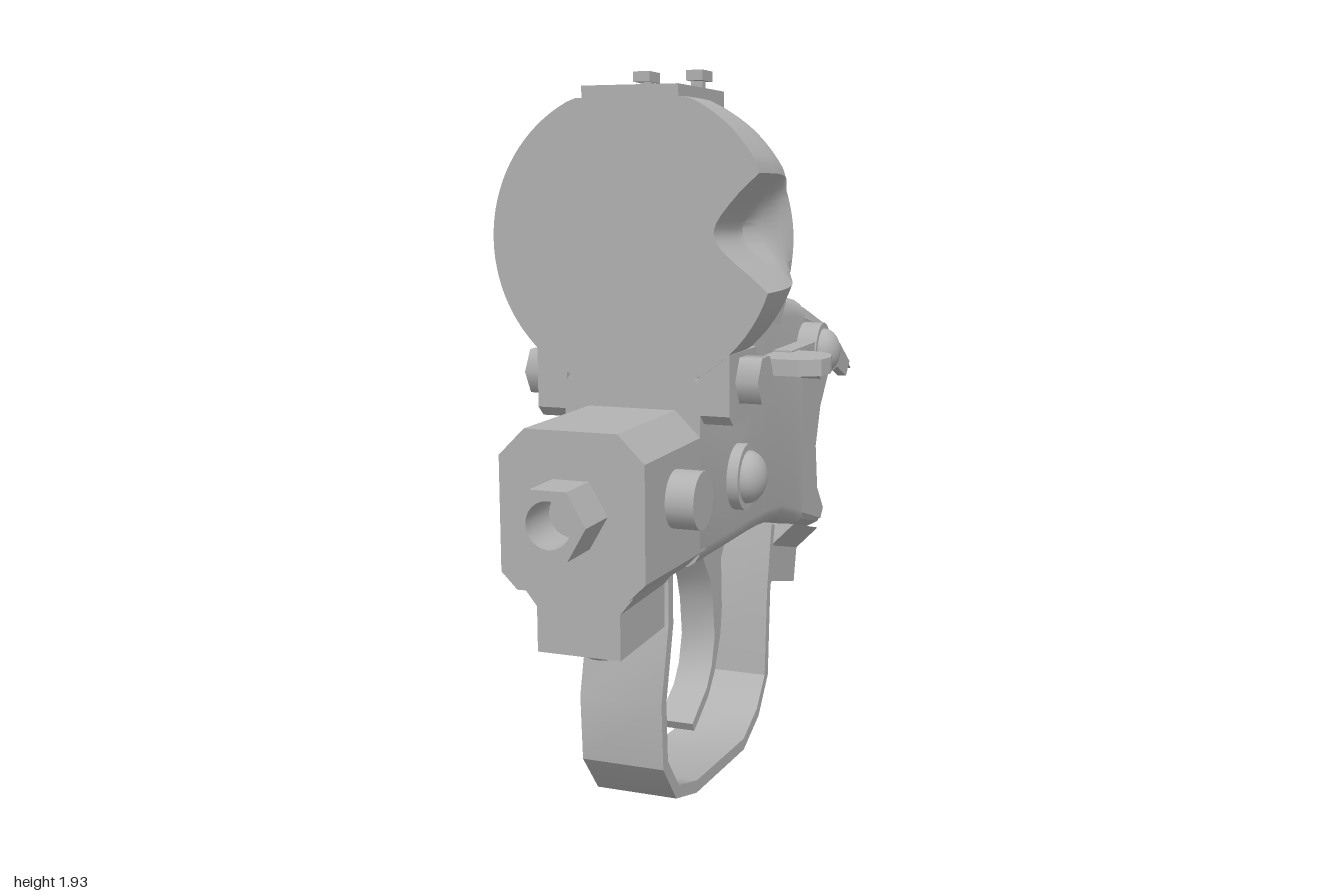
import * as THREE from 'three';
import { toCreasedNormals } from 'three/addons/utils/BufferGeometryUtils.js';

const metal = new THREE.MeshStandardMaterial({ color: 0xb2b2b2 });
metal.name = 'grey metal';

// Skin a list of sections (counter-clockwise [x, y] loops, z descending) and cap both ends
function loft(sections, crease = 0.6) {
  const n = sections[0].pts.length, pos = [], idx = [];
  sections.forEach(s => s.pts.forEach(p => pos.push(p[0], p[1], s.z)));
  for (let i = 0; i < sections.length - 1; i++) {
    for (let j = 0; j < n; j++) {
      const a = i * n + j, b = i * n + (j + 1) % n, c = a + n, d = b + n;
      idx.push(a, c, b, b, c, d);
    }
  }
  const cap = (s, off, flip) => {
    const loop = s.pts.map(p => new THREE.Vector2(p[0], p[1]));
    for (const [a, b, c] of THREE.ShapeUtils.triangulateShape(loop, [])) {
      idx.push(off + a, off + (flip ? c : b), off + (flip ? b : c));
    }
  };
  cap(sections[0], 0, false);
  cap(sections[sections.length - 1], (sections.length - 1) * n, true);
  const g = new THREE.BufferGeometry();
  g.setAttribute('position', new THREE.Float32BufferAttribute(pos, 3));
  g.setIndex(idx);
  return toCreasedNormals(g, crease);
}

// Box section with cut (steps = 1) or rounded corners
function boxSection(w, top, bottom, rTop, rBottom, steps) {
  const pts = [];
  const corners = [[1, bottom, rBottom, -1], [1, top, rTop, 1], [-1, top, rTop, 1], [-1, bottom, rBottom, -1]];
  corners.forEach(([sx, y, r, sy], k) => {
    for (let i = 0; i <= steps; i++) {
      const a = (k - 1 + i / steps) * Math.PI / 2;
      pts.push([sx * (w - r) + r * Math.cos(a), y - sy * r + r * Math.sin(a)]);
    }
  });
  return pts;
}

// Side outline of [z, y] points, extruded from x0 to x1
function slab(points, x0, x1) {
  const shape = new THREE.Shape(points.map(p => new THREE.Vector2(p[0], p[1])));
  const g = new THREE.ExtrudeGeometry(shape, { depth: x1 - x0, bevelEnabled: false });
  return toCreasedNormals(g.rotateY(-Math.PI / 2).translate(x1, 0, 0), 0.6);
}

// Closed outline of a strip of given thickness along a [z, y] path
function strip(path, t) {
  const a = [], b = [];
  path.forEach((p, i) => {
    const q = path[Math.max(i - 1, 0)], r = path[Math.min(i + 1, path.length - 1)];
    const dx = r[0] - q[0], dy = r[1] - q[1], l = Math.hypot(dx, dy);
    a.push([p[0] - dy / l * t / 2, p[1] + dx / l * t / 2]);
    b.unshift([p[0] + dy / l * t / 2, p[1] - dx / l * t / 2]);
  });
  return a.concat(b);
}

export function createModel() {
  const model = new THREE.Group();
  const add = (name, geometry, x = 0, y = 0, z = 0) => {
    const m = new THREE.Mesh(geometry, metal);
    m.name = name;
    m.position.set(x, y, z);
    model.add(m);
    return m;
  };
  const box = (w, h, d) => new THREE.BoxGeometry(w, h, d);
  const sideCyl = (r, len, n) => new THREE.CylinderGeometry(r, r, len, n).rotateZ(-Math.PI / 2);
  const dome = (r, h) => new THREE.SphereGeometry(r, 24, 8, 0, Math.PI * 2, 0, Math.PI / 2).scale(1, h / r, 1);

  // Receiver: chamfered nose and rounded middle
  add('receiverNose', loft([[0.88, 1.1, 0.72], [0.48, 1.1, 0.705]].map(([z, t, b]) =>
    ({ z, pts: boxSection(0.18, t, b, 0.065, 0.04, 1) })), 0.3));
  const middle = [[0.518, 1.2, 0.705], [0.3, 1.22, 0.697], [0.08, 1.41, 0.69], [-0.05, 1.38, 0.683],
    [-0.2, 1.33, 0.665], [-0.32, 1.32, 0.63], [-0.42, 1.305, 0.6]];
  add('receiverBody', loft(middle.map(([z, t, b]) => ({ z, pts: boxSection(0.18, t, b, 0.06, 0.05, 4) }))));

  // Hollow tail: two side walls, arched roof and floor
  const wall = [[-0.4, 1.25], [-0.68, 1.19], [-0.85, 1.125], [-0.985, 1.05], [-0.94, 1.005], [-0.82, 1.05],
    [-0.7, 1.04], [-0.61, 0.95], [-0.56, 0.83], [-0.585, 0.69], [-0.66, 0.61], [-0.63, 0.58], [-0.4, 0.65]];
  add('tailWallLeft', slab(wall, 0.15, 0.18));
  add('tailWallRight', slab(wall, -0.18, -0.15));
  const arch = (y, s) => {
    const outer = [[0.18, -0.06], [0.165, -0.025], [0.12, 0], [-0.12, 0], [-0.165, -0.025], [-0.18, -0.06]];
    const inner = [[-0.15, -0.065], [-0.11, -0.035], [0.11, -0.035], [0.15, -0.065]];
    const pts = outer.concat(inner).map(([x, d]) => [x, y + s * d]);
    return s > 0 ? pts : pts.reverse();
  };
  add('tailRoof', loft([[-0.41, 1.305], [-0.45, 1.3], [-0.68, 1.235], [-0.85, 1.17], [-1, 1.085]]
    .map(([z, y]) => ({ z, pts: arch(y, 1) }))));
  add('tailFloor', loft([[-0.41, 0.602], [-0.65, 0.54]].map(([z, y]) => ({ z, pts: arch(y, -1) }))));

  // Round housing with a finger scoop on its left side
  const rings = [[0.52, 0.37], [0.4, 0.37], [0.34, 0.367], [0.29, 0.36], [0.25, 0.351], [0.21, 0.338],
    [0.17, 0.317], [0.13, 0.287], [0.1, 0.256], [0.08, 0.225]];
  add('roundHousing', loft(rings.map(([z, r]) => {
    const fade = THREE.MathUtils.smoothstep(z, 0.15, 0.31);
    const pts = [];
    for (let i = 0; i < 96; i++) {
      const a = (i - 48) / 96 * Math.PI * 2, u = (a - 0.08) / 0.38;
      const cut = Math.abs(u) < 1 ? 0.155 * fade * Math.pow(1 - u * u, 0.7) : 0;
      pts.push([(r - cut) * Math.cos(a), Math.min(1.51 + (r - cut) * Math.sin(a), 1.85)]);
    }
    return { z, pts };
  }), 0.7));
  add('rearHub', new THREE.CylinderGeometry(0.14, 0.14, 0.09, 32).rotateX(Math.PI / 2), 0.01, 1.52, 0.045);
  add('hubPin', new THREE.CylinderGeometry(0.036, 0.036, 0.05, 16).rotateX(Math.PI / 2), 0.005, 1.525, -0.02);

  // Sight base with two notched posts
  add('sightBase', box(0.25, 0.075, 0.335), 0, 1.842, 0.35);
  for (const s of [-1, 1]) {
    add('sightPost', box(0.03, 0.05, 0.025), s * 0.07, 1.9, 0.225);
    add('sightHead', box(0.045, 0.026, 0.075), s * 0.072, 1.917, 0.225);
  }

  // Triangular ears, hinge lugs and hex bolts on both sides
  const ear = [[0.1, 1.3], [0.1, 1.6], [0.05, 1.6], [-0.2, 1.345], [-0.21, 1.31], [-0.15, 1.25]];
  const lug = [[0.518, 1.09], [0.518, 1.24], [0.3, 1.24], [0.3, 1.1], [0.33, 1.065], [0.49, 1.065]];
  for (const s of [-1, 1]) {
    add('ear', slab(ear, s > 0 ? 0.142 : -0.18, s > 0 ? 0.18 : -0.142));
    add('hingeLug', slab(lug, s > 0 ? 0.175 : -0.255, s > 0 ? 0.255 : -0.175));
    add('hexBolt', sideCyl(0.065, 0.06, 6), s * 0.283, 1.17, 0.41);
  }

  // Hexagonal muzzle stub with a bore
  const hex = new THREE.Shape();
  for (let i = 0; i < 6; i++) hex[i ? 'lineTo' : 'moveTo'](0.09 * Math.cos(i * Math.PI / 3), 0.09 * Math.sin(i * Math.PI / 3));
  hex.holes.push(new THREE.Path().absarc(0, 0, 0.055, 0, Math.PI * 2, true));
  add('muzzleStub', toCreasedNormals(new THREE.ExtrudeGeometry(hex, { depth: 0.12, bevelEnabled: false }), 0.6), 0, 0.91, 0.88);

  // Side button and domed pins
  add('sideButton', sideCyl(0.07, 0.08, 24), 0.21, 0.92, 0.69);
  const domedPin = (name, y, z, len, r) => {
    add(name + 'Collar', sideCyl(r, len, 28), 0.17 + len / 2, y, z);
    add(name + 'Dome', dome(r * 0.8, 0.05).rotateZ(-Math.PI / 2), 0.17 + len, y, z);
  };
  domedPin('framePin', 0.885, 0.23, 0.04, 0.088);
  domedPin('leverPivot', 1.15, -0.41, 0.07, 0.085);

  // Safety lever with thumb paddle
  add('leverBar', box(0.06, 0.065, 0.3), 0.205, 1.152, -0.24);
  const paddle = new THREE.Shape([[0.175, 0.075], [0.3, 0.075], [0.355, 0.04], [0.365, -0.02], [0.35, -0.09],
    [0.31, -0.135], [0.24, -0.15], [0.175, -0.15]].map(p => new THREE.Vector2(...p)));
  add('leverPaddle', new THREE.ExtrudeGeometry(paddle, { depth: 0.045, bevelEnabled: false }).rotateX(Math.PI / 2), 0, 1.18, 0);

  // Trigger
  add('trigger', slab([[0.16, 0.7], [0.13, 0.62], [0.075, 0.55], [0.05, 0.48], [0.035, 0.37], [0.06, 0.29], [0.1, 0.24],
    [0.22, 0.175], [0.205, 0.15], [0.09, 0.21], [0.035, 0.265], [-0.015, 0.36], [-0.028, 0.44], [-0.02, 0.59],
    [-0.1, 0.68], [-0.1, 0.7]], -0.05, 0.05));

  // Trigger guard band
  add('triggerGuard', slab(strip([[0.54, 0.73], [0.54, 0.56], [0.59, 0.37], [0.58, 0.205], [0.495, 0.1], [0.35, 0.055],
    [-0.055, 0.02], [-0.19, 0.07], [-0.275, 0.16], [-0.293, 0.42], [-0.335, 0.62]], 0.034), -0.11, 0.11));

  // Guard mounts: flared top, block and domed screw
  const mount = (z, y, tilt, len, flare) => {
    const g = new THREE.Group();
    g.name = 'guardMount';
    const part = (name, geo, py) => {
      const m = new THREE.Mesh(geo, metal);
      m.name = name;
      m.position.y = py;
      g.add(m);
    };
    const f = [[-0.105, -0.06], [0.105, -0.06], [flare, 0.01], [-flare, 0.01]];
    part('mountFlare', loft([{ z: len / 2, pts: f }, { z: -len / 2, pts: f }]), 0);
    part('mountBlock', box(0.21, 0.12, len), -0.11);
    part('mountScrew', dome(0.07, 0.05).rotateX(Math.PI), -0.17);
    g.position.set(0, y, z);
    g.rotation.x = tilt;
    model.add(g);
  };
  mount(0.71, 0.735, 0, 0.28, 0.16);
  mount(-0.49, 0.575, -0.26, 0.29, 0.17);

  return model;
}
